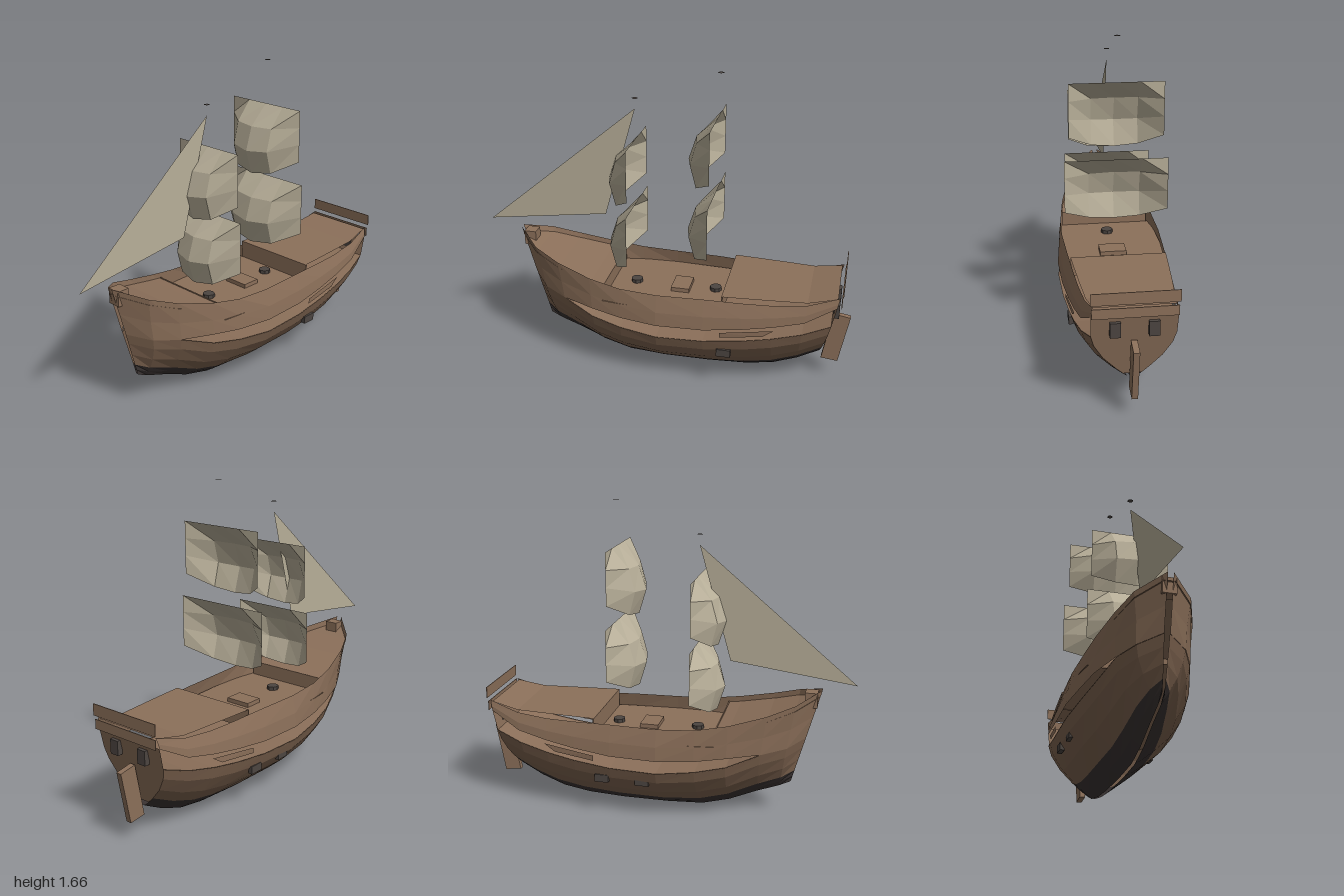
import * as THREE from 'three';

const mat = (name, color) => {
  const m = new THREE.MeshStandardMaterial({ color, flatShading: true, side: THREE.DoubleSide });
  m.name = name;
  return m;
};

// Hull stations, bow to stern:
// keel x, rail x, keel y, lower hull top y, bulwark bottom y, rail y, lower half width, rail half width
const STATIONS = [
  [-0.68, -0.825, 0.19, 0.45, 0.45, 0.72, 0.012, 0.012],
  [-0.62, -0.70, 0.16, 0.42, 0.42, 0.665, 0.115, 0.135],
  [-0.50, -0.56, 0.115, 0.40, 0.40, 0.615, 0.18, 0.19],
  [-0.35, -0.37, 0.05, 0.335, 0.385, 0.565, 0.235, 0.235],
  [-0.20, -0.20, 0.01, 0.305, 0.365, 0.535, 0.265, 0.255],
  [0.00, 0.00, 0.0, 0.285, 0.355, 0.525, 0.287, 0.262],
  [0.25, 0.25, 0.0, 0.29, 0.358, 0.525, 0.28, 0.25],
  [0.45, 0.45, 0.01, 0.31, 0.38, 0.52, 0.265, 0.237],
  [0.60, 0.61, 0.035, 0.335, 0.405, 0.52, 0.25, 0.225],
  [0.73, 0.78, 0.085, 0.37, 0.44, 0.535, 0.23, 0.21],
  [0.85, 0.94, 0.15, 0.42, 0.53, 0.585, 0.2, 0.19],
];
// Cross-section of the lower hull: height fraction, width fraction
const BOTTOM = [[0, 0.03], [0.12, 0.22], [0.25, 0.4]];
const SIDE = [[0.25, 0.4], [0.5, 0.7], [0.78, 0.92], [1, 1]];

const lerp = THREE.MathUtils.lerp;
const xAt = (s, y) => lerp(s[0], s[1], (y - s[2]) / (s[5] - s[2]));

// Station values interpolated at a rail x
function stationAt(x) {
  let i = 0;
  while (i < STATIONS.length - 2 && x > STATIONS[i + 1][1]) i++;
  const [a, b] = [STATIONS[i], STATIONS[i + 1]];
  const t = (x - a[1]) / (b[1] - a[1]);
  return a.map((v, k) => lerp(v, b[k], t));
}

// Grid surface through rows of points
function surface(rows) {
  const n = rows[0].length, index = [];
  for (let i = 0; i < rows.length - 1; i++) {
    for (let j = 0; j < n - 1; j++) {
      const a = i * n + j, b = a + n;
      index.push(a, b, a + 1, b, b + 1, a + 1);
    }
  }
  const g = new THREE.BufferGeometry();
  g.setAttribute('position', new THREE.Float32BufferAttribute(rows.flat(2), 3));
  g.setIndex(index);
  g.computeVertexNormals();
  return g;
}

const hullRow = (s, section) => section.map(([f, w]) => {
  const y = lerp(s[2], s[3], f);
  return [xAt(s, y), y, Math.max(s[6] * w, 0.006)];
});

const bulwarkRow = (s) => [0, 0.45, 1].map((f) => {
  const y = lerp(s[4], s[5], f);
  return [xAt(s, y), y, lerp(s[6], s[7], f * f) + 0.002];
});

export function createModel() {
  const group = new THREE.Group();
  const wood = mat('plank wood', 0x8c705a);
  const hullWood = mat('hull wood', 0x7d634f);
  const tar = mat('tarred bottom', 0x3a3332);
  const canvas = mat('sail canvas', 0xb8af99);
  const iron = mat('dark iron', 0x4c4541);

  const add = (name, geometry, material, x = 0, y = 0, z = 0) => {
    const mesh = new THREE.Mesh(geometry, material);
    mesh.name = name;
    mesh.position.set(x, y, z);
    group.add(mesh);
    return mesh;
  };
  const box = (name, w, h, d, material, x, y, z) =>
    add(name, new THREE.BoxGeometry(w, h, d), material, x, y, z);
  const bothSides = (name, geometry, material) => {
    add(name + 'Port', geometry, material);
    add(name + 'Starboard', geometry, material).scale.z = -1;
  };

  // Hull shell: tarred bottom, planked side, separate bulwark above an open gap
  bothSides('hullBottom', surface(STATIONS.map((s) => hullRow(s, BOTTOM))), tar);
  bothSides('hullSide', surface(STATIONS.map((s) => hullRow(s, SIDE))), hullWood);
  bothSides('bulwark', surface(STATIONS.map(bulwarkRow)), wood);

  // Loose plank in the gap on each quarter
  bothSides('quarterPlank', surface([
    [[0.34, 0.32, 0.272], [0.34, 0.35, 0.274]],
    [[0.56, 0.345, 0.255], [0.62, 0.385, 0.25]],
  ]), wood);

  // Transom across the last station
  const stern = STATIONS[STATIONS.length - 1];
  const sternEdge = [...hullRow(stern, [[0.12, 0.22], ...SIDE]), bulwarkRow(stern)[0]];
  add('transom', surface([sternEdge, sternEdge.map(([x, y, z]) => [x, y, -z])]), wood);

  // Decks
  const deck = (name, xs, height, width) => add(name, surface(xs.map((x) => {
    const s = stationAt(x), y = height(s, x), w = width(s);
    return [[x, y, w], [x, y, -w]];
  })), wood);
  add('lowerDeck', surface(STATIONS.slice(2).map((s) => {
    const y = s[3] - 0.003, x = xAt(s, y);
    return [[x, y, s[6]], [x, y, -s[6]]];
  })), wood);
  deck('foreDeck', [-0.81, -0.7, -0.56, -0.37, -0.3], (s) => s[5] - 0.03, (s) => s[7]);
  deck('waistDeck', [-0.3, -0.2, 0, 0.25, 0.34], () => 0.45, (s) => s[7] + 0.012);
  deck('quarterDeck', [0.34, 0.45, 0.61, 0.78, 0.93],
    (s, x) => 0.548 + Math.max(0, x - 0.78) * 0.2, (s) => s[7]);
  box('foreBulkhead', 0.006, 0.085, 0.48, wood, -0.3, 0.485, 0);
  box('quarterBulkhead', 0.006, 0.1, 0.49, wood, 0.343, 0.497, 0);
  box('hatch', 0.1, 0.025, 0.14, wood, 0.085, 0.46, 0);

  // Stern rail boards and hinge brackets
  box('railBoardTop', 0.004, 0.06, 0.41, wood, 0.955, 0.63, 0);
  box('railBoardLower', 0.004, 0.05, 0.4, wood, 0.95, 0.555, 0);
  for (const z of [-0.09, 0.09]) box('sternBracket', 0.03, 0.075, 0.05, iron, 0.925, 0.46, z);

  // Raked rudder blade
  const blade = new THREE.Shape([[0.91, 0.39], [0.86, 0.11], [0.95, 0.1], [1, 0.375]]
    .map(([x, y]) => new THREE.Vector2(x, y)));
  add('rudder', new THREE.ExtrudeGeometry(blade, { depth: 0.03, bevelEnabled: false }), wood, 0, 0, -0.015);

  // Bow block
  box('bowBlock', 0.065, 0.08, 0.07, wood, -0.77, 0.665, 0);

  // Gun port lids
  for (const [x, z] of [[0.36, 1], [0.3, -1], [0.08, -1]]) {
    box('gunPort', 0.075, 0.042, 0.025, iron, x, 0.218, z * 0.25);
  }

  // Mast feet and the caps at the mast heads
  for (const [x, foot, head] of [[0.27, 0.46, 1.66], [-0.17, 0.46, 1.5]]) {
    add('mastFoot', new THREE.CylinderGeometry(0.032, 0.032, 0.02, 8), iron, x, foot, 0);
    const cap = add('mastCap', new THREE.CircleGeometry(0.016, 8), iron, x, head, 0);
    cap.rotation.x = -Math.PI / 2;
  }

  // Square sails bellied towards the bow: yard x, top y, half width
  const BELLY = [0, 0.11, 0.15, 0.11], SIDE_DROP = [0, 0.09, 0.18, 0.275], MID_DROP = [0, 0.105, 0.23, 0.36];
  const SPREAD = [1, 0.8, 0];
  const sail = (name, x, top, half) => add(name, surface(BELLY.map((belly, r) =>
    [-1, -0.5, 0, 0.5, 1].map((u) => {
      const k = SPREAD[0] - (Math.abs(u) === 1 ? 1 : Math.abs(u) * 0.4);
      return [x - belly * k, top - lerp(SIDE_DROP[r], MID_DROP[r], k), u * half];
    }))), canvas);
  sail('mainTopsail', 0.262, 1.43, 0.237);
  sail('mainCourse', 0.262, 1.035, 0.263);
  sail('foreTopsail', -0.165, 1.285, 0.21);
  sail('foreCourse', -0.165, 0.93, 0.23);

  // Jib
  const jib = new THREE.Shape([[-1, 0.75], [-0.34, 0.84], [-0.17, 1.445]]
    .map(([x, y]) => new THREE.Vector2(x, y)));
  add('jib', new THREE.ShapeGeometry(jib), canvas);

  return group;
}
